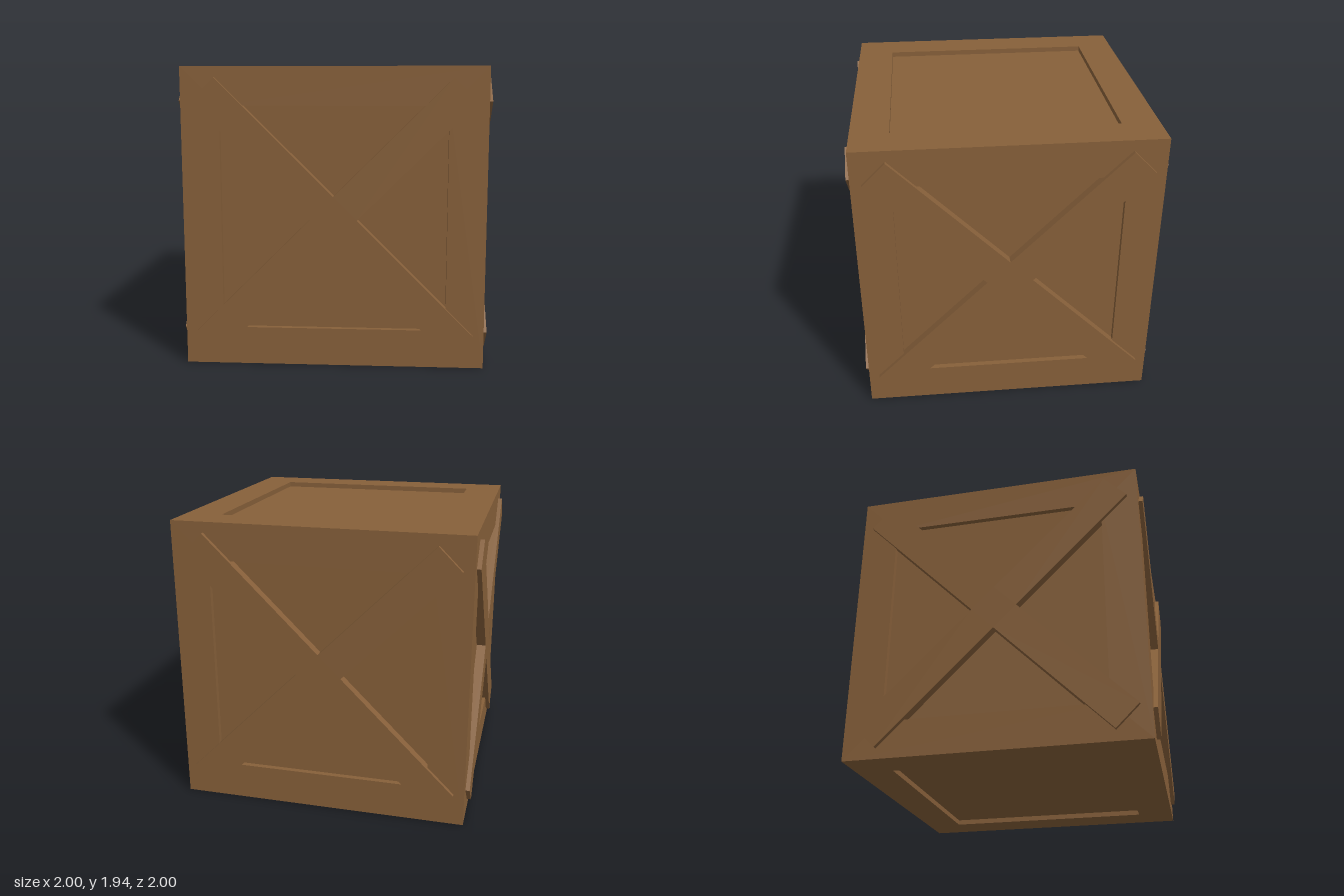
import * as THREE from 'three';
import { mergeGeometries } from 'three/addons/utils/BufferGeometryUtils.js';

const HALF = 0.972;    // half of the crate's edge
const OPEN = 0.725;    // half of the recessed panel
const DEPTH = 0.035;   // recess depth
const RAISE = 0.028;   // how far the braces stand out

// Square rim around the recess
function rimGeometry() {
  const square = (s) => [[-s, -s], [s, -s], [s, s], [-s, s]].map(([x, y]) => new THREE.Vector2(x, y));
  const shape = new THREE.Shape(square(HALF));
  shape.holes.push(new THREE.Path(square(OPEN).reverse()));
  return new THREE.ShapeGeometry(shape).translate(0, 0, HALF);
}

// Four inward-facing walls of the recess
function wallsGeometry() {
  const walls = [];
  for (let k = 0; k < 4; k++) {
    walls.push(new THREE.PlaneGeometry(OPEN * 2, DEPTH)
      .rotateX(-Math.PI / 2)
      .translate(0, -OPEN, HALF - DEPTH / 2)
      .rotateZ(k * Math.PI / 2));
  }
  return mergeGeometries(walls);
}

// Two crossed planks as one X outline
function braceGeometry() {
  const points = [];
  const centre = new THREE.Vector2();
  for (let k = 0; k < 4; k++) {
    for (const [x, y] of [[0.902, 0.752], [0.752, 0.902], [0, 0.15]]) {
      points.push(new THREE.Vector2(x, y).rotateAround(centre, k * Math.PI / 2));
    }
  }
  return new THREE.ExtrudeGeometry(new THREE.Shape(points), { depth: DEPTH + RAISE, bevelEnabled: false })
    .translate(0, 0, HALF - DEPTH);
}

export function createModel() {
  const wood = new THREE.MeshStandardMaterial({ color: 0x87603a });
  wood.name = 'brown wood';

  const rim = rimGeometry();
  const walls = wallsGeometry();
  const panel = new THREE.PlaneGeometry(OPEN * 2, OPEN * 2).translate(0, 0, HALF - DEPTH);
  const brace = braceGeometry();

  const crate = new THREE.Group();
  crate.name = 'crate';

  // One side of the crate, built facing +z and then turned
  function addSide(name, rx, ry, braced) {
    const side = new THREE.Group();
    side.name = name;
    const parts = { rim, recessWalls: walls, panel };
    if (braced) parts.crossBrace = brace;
    for (const [part, geometry] of Object.entries(parts)) {
      const mesh = new THREE.Mesh(geometry, wood);
      mesh.name = part;
      side.add(mesh);
    }
    side.rotation.set(rx, ry, 0);
    side.position.y = HALF;
    crate.add(side);
  }

  ['frontSide', 'leftSide', 'backSide', 'rightSide'].forEach((name, i) => addSide(name, 0, i * Math.PI / 2, true));
  addSide('lid', -Math.PI / 2, 0, false);
  addSide('base', Math.PI / 2, 0, false);
  return crate;
}
